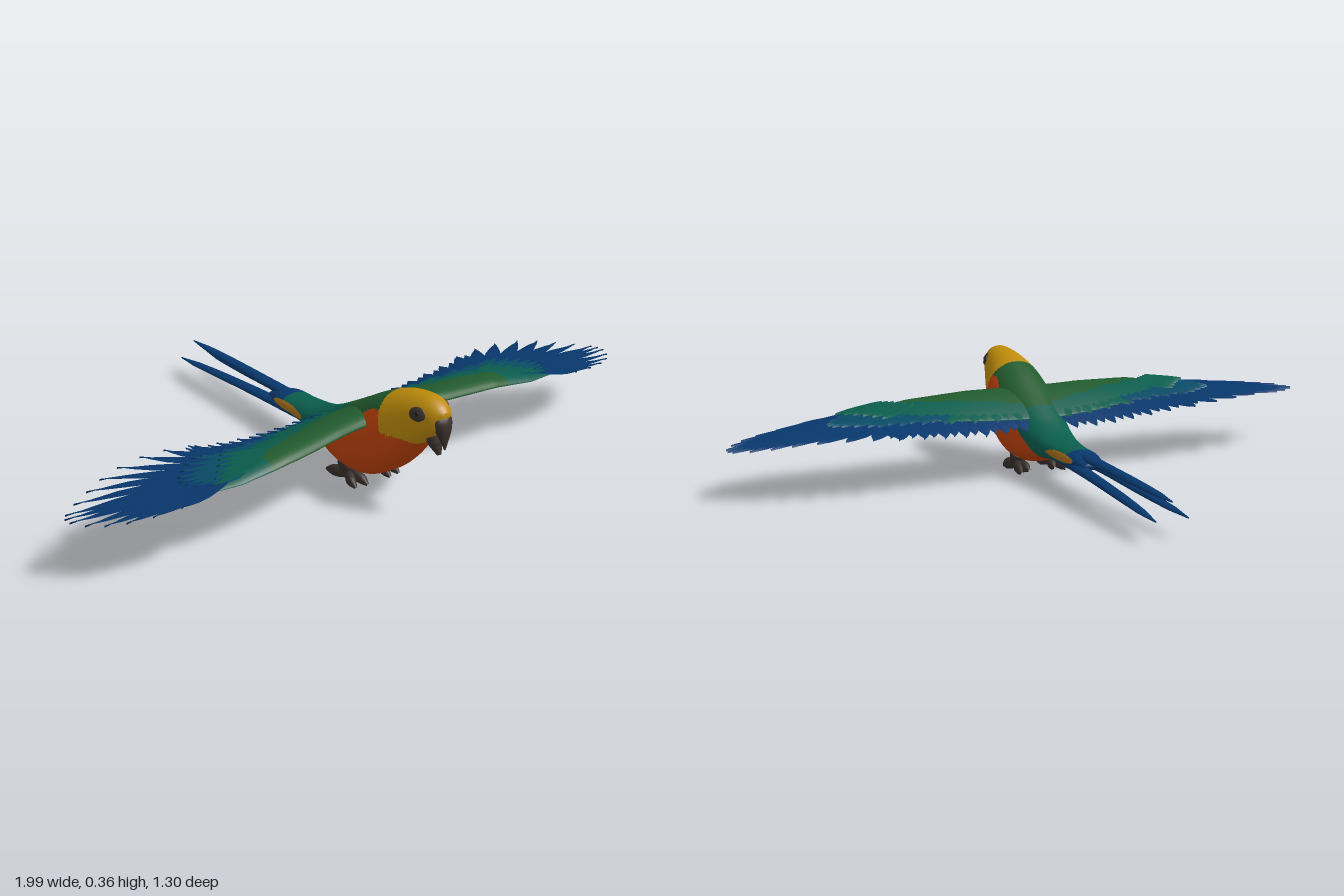
import * as THREE from 'three';
import { mergeGeometries } from 'three/addons/utils/BufferGeometryUtils.js';

const paint = (name, color, side = THREE.FrontSide) => {
  const m = new THREE.MeshStandardMaterial({ color, side });
  m.name = name;
  return m;
};
const V = (x, y, z) => new THREE.Vector3(x, y, z);

// Linear interpolation in rows sorted by their first entry
function sample(rows, k) {
  let i = 0;
  while (i < rows.length - 2 && k > rows[i + 1][0]) i++;
  const a = rows[i], b = rows[i + 1];
  const t = THREE.MathUtils.clamp((k - a[0]) / (b[0] - a[0]), 0, 1);
  return a.map((v, j) => v + (b[j] - v) * t);
}

// Skin over rings of points; classify(centre) picks a material index per face
function loft(rings, closed = true, classify = null) {
  const n = rings[0].length, pts = rings.flat(), faces = [];
  for (let i = 0; i < rings.length - 1; i++)
    for (let j = 0; j < (closed ? n : n - 1); j++) {
      const a = i * n + j, b = i * n + (j + 1) % n;
      faces.push([a, a + n, b], [b, a + n, b + n]);
    }
  const geo = new THREE.BufferGeometry().setFromPoints(pts);
  const buckets = [];
  for (const f of faces) {
    const c = V(0, 0, 0);
    f.forEach((k) => c.addScaledVector(pts[k], 1 / 3));
    const m = classify ? classify(c) : 0;
    (buckets[m] ||= []).push(...f);
  }
  const index = [];
  buckets.forEach((list, m) => {
    if (classify) geo.addGroup(index.length, list.length, m);
    for (const k of list) index.push(k);
  });
  geo.setIndex(index);
  geo.computeVertexNormals();
  return geo;
}

// Smooth spindle along a path; radii are [across, thick] pairs
function spindle(path, radii, sides = 12, steps = 14) {
  const curve = new THREE.CatmullRomCurve3(path.map((p) => V(...p)));
  const rows = radii.map((r, i) => [i / (radii.length - 1), ...r]);
  const rings = [];
  for (let i = 0; i <= steps; i++) {
    const t = i / steps, c = curve.getPoint(t), d = curve.getTangent(t);
    const n = V(1, 0, 0).cross(d).normalize();
    const [, rx, ry] = sample(rows, t);
    rings.push(Array.from({ length: sides }, (_, j) => {
      const a = j / sides * Math.PI * 2;
      return c.clone().addScaledVector(n, Math.sin(a) * ry).add(V(Math.cos(a) * rx, 0, 0));
    }));
  }
  return loft([rings[0].map(() => V(...path[0])), ...rings]);
}

// Wing rows: span, leading z, height, backward slope, covert trailing z, thickness
const WING = [
  [0.03, 0.415, 0.283, 0.41, 0.20, 0.036], [0.2, 0.42, 0.28, 0.38, 0.21, 0.033],
  [0.4, 0.42, 0.262, 0.26, 0.23, 0.027], [0.55, 0.415, 0.228, 0.09, 0.26, 0.016],
  [0.66, 0.39, 0.204, 0, 0.32, 0.004], [0.8, 0.39, 0.185, -0.05, 0.34, 0.003], [1, 0.3, 0.164, 0, 0.3, 0.002],
];
// The right wing is held slightly further forward and higher
const place = (x, y, z, s) => s > 0 ? V(x, y, z)
  : V(-x, y + 0.034 * x * x, z + 0.05 * THREE.MathUtils.smoothstep(x, 0.05, 0.45));
const wingY = (x, z) => {
  const [, lead, h, slope] = sample(WING, x);
  return h - Math.max(0, lead - z) * slope;
};

// A ridged vane following the wing surface from root [x, z] to tip [x, z]
const VANE = [[0, 0.5], [0.2, 0.9], [0.5, 1], [0.72, 0.85], [0.88, 0.48], [1, 0.02]];
function feather(root, tip, width, lift, s) {
  const dx = tip[0] - root[0], dz = tip[1] - root[1], len = Math.hypot(dx, dz);
  return loft(VANE.map(([t, w]) => [-1, 0, 1].map((k) => {
    const x = root[0] + dx * t - dz / len * k * w * width / 2;
    const z = root[1] + dz * t + dx / len * k * w * width / 2;
    const y = wingY(root[0] + dx * t, root[1] + dz * t) + lift + (k ? 0.003 * k : 0.003);
    return place(x, y, z, s);
  })), false);
}

// Body rows: z, top, bottom, half width
const BODY = [
  [0.642, 0.345, 0.325, 0.012], [0.624, 0.362, 0.28, 0.035], [0.59, 0.375, 0.25, 0.052],
  [0.54, 0.372, 0.2, 0.07], [0.49, 0.362, 0.14, 0.086], [0.44, 0.345, 0.093, 0.1],
  [0.38, 0.315, 0.058, 0.105], [0.3, 0.268, 0.044, 0.103], [0.22, 0.222, 0.052, 0.09],
  [0.15, 0.185, 0.076, 0.075], [0.08, 0.16, 0.088, 0.064], [0, 0.15, 0.092, 0.055],
  [-0.1, 0.144, 0.094, 0.05], [-0.16, 0.125, 0.105, 0.03],
];
function bodyGeometry() {
  const top = new THREE.CatmullRomCurve3(BODY.map((r) => V(r[3], r[1], r[0])));
  const low = new THREE.CatmullRomCurve3(BODY.map((r) => V(r[3], r[2], r[0])));
  const steps = 150, sides = 84, rings = [];
  for (let i = 0; i <= steps; i++) {
    const t = top.getPoint(i / steps), b = low.getPoint(i / steps);
    const cy = (t.y + b.y) / 2, h = (t.y - b.y) / 2;
    rings.push(Array.from({ length: sides }, (_, j) => {
      const a = j / sides * Math.PI * 2, c = Math.cos(a), s = Math.sin(a);
      const e = s < 0 ? 0.75 : 0.95;
      return V(Math.sign(c) * Math.abs(c) ** e * t.x, cy + Math.sign(s) * Math.abs(s) ** e * h, t.z);
    }));
  }
  const end = (ring) => {
    const c = ring.reduce((m, p) => m.addScaledVector(p, 1 / sides), V(0, 0, 0));
    return ring.map(() => c.clone());
  };
  // 0 yellow head, 1 orange breast, 2 green mantle, 3 teal rump, 4 gold flank, 5 blue tail base
  return loft([end(rings[0]), ...rings, end(rings[steps])], true, ({ x, y, z }) => {
    if (z > 0.435 + (0.345 - y) * 0.35 && y > 0.245 - Math.max(0, z - 0.54) * 0.5) return 0;
    if (z > 0.12 && y < Math.min(0.3, 0.1 + (z - 0.13) * 0.68)) return 1;
    if (Math.abs(x) > 0.02 && ((z + 0.025) / 0.085) ** 2 + ((y - 0.123) / 0.013) ** 2 < 1) return 4;
    if (z < -0.06 || (z < 0.07 && y < 0.102)) return 5;
    return z > 0.24 ? 2 : 3;
  });
}

export function createModel() {
  const bird = new THREE.Group();
  bird.name = 'parrot';
  const both = THREE.DoubleSide;
  const yellow = paint('yellow', 0xbd8b0b), orange = paint('orange', 0xc2430b);
  const green = paint('green', 0x215a2d, both), teal = paint('teal', 0x0a5d4d, both);
  const ocean = paint('ocean blue', 0x094b66, both);
  const blue = paint('blue', 0x08376c, both), navy = paint('navy', 0x07284f, both);
  const gold = paint('gold', 0xa8701a), horn = paint('horn', 0x38302b), black = paint('black', 0x1c1a18);
  const add = (name, geo, mat, parent = bird) => {
    const m = new THREE.Mesh(geo, mat);
    m.name = name;
    parent.add(m);
    return m;
  };

  add('body', bodyGeometry(), [yellow, orange, green, teal, gold, blue]);

  // Hooked beak
  add('upperBeak', spindle([[0, 0.318, 0.6], [0, 0.318, 0.625], [0, 0.285, 0.634], [0, 0.234, 0.642]],
    [[0.028, 0.02], [0.031, 0.022], [0.024, 0.018], [0.002, 0.002]]), horn);
  add('lowerBeak', spindle([[0, 0.27, 0.59], [0, 0.24, 0.603], [0, 0.21, 0.62]],
    [[0.028, 0.022], [0.022, 0.019], [0.006, 0.006]]), horn);

  for (const s of [1, -1]) {
    // Eye in a dark patch
    const patch = add('eyePatch', new THREE.SphereGeometry(1, 20, 14), horn);
    patch.scale.set(0.007, 0.02, 0.026);
    patch.position.set(s * 0.051, 0.333, 0.581);
    patch.rotation.set(0, -s * 0.35, s * 0.3);
    const eye = add('eye', new THREE.SphereGeometry(0.008, 14, 10), black);
    eye.position.set(s * 0.051, 0.335, 0.582);

    // Tucked foot: leg stub, two stout toes forward and two back
    const foot = new THREE.Group();
    foot.name = 'foot';
    bird.add(foot);
    add('leg', spindle([[s * 0.06, 0.075, 0.28], [s * 0.06, 0.05, 0.29], [s * 0.06, 0.022, 0.3]],
      [[0.026, 0.03], [0.024, 0.028], [0.014, 0.014]], 10, 8), horn, foot);
    for (const [dx, z, y] of [[-0.018, 0.362, 0.018], [0.02, 0.355, 0.016], [-0.015, 0.225, 0.022], [0.017, 0.208, 0.02]])
      add('toe', spindle([[s * 0.06, 0.036, 0.29], [s * (0.06 + dx * 0.8), 0.03, (z + 0.29) / 2], [s * (0.06 + dx), y, z]],
        [[0.015, 0.014], [0.015, 0.02], [0.013, 0.017], [0.004, 0.004]], 10, 10), horn, foot);

    // Wing: padded arm with overlapping rows of feathers
    const wing = new THREE.Group();
    wing.name = s > 0 ? 'leftWing' : 'rightWing';
    bird.add(wing);
    const rings = [];
    for (let i = 0; i <= 60; i++) {
      const x = 0.03 + 0.63 * i / 60, [, lead, , , trail, thick] = sample(WING, x);
      rings.push(Array.from({ length: 32 }, (_, j) => {
        const a = j / 32 * Math.PI * 2, u = (1 + Math.cos(a)) / 2;
        const z = trail + (lead - trail) * u, k = Math.sin(a);
        return place(x, wingY(x, z) + thick * (k * (k > 0 ? 0.8 : 0.5) * (0.35 + 0.65 * u) - u ** 4), z, s);
      }));
    }
    add('wingArm', loft(rings, true, ({ x, z }) => {
      const ax = Math.abs(x), shift = s < 0 ? 0.05 * THREE.MathUtils.smoothstep(ax, 0.05, 0.45) : 0;
      return z - shift > 0.255 + ax * 0.22 && ax < 0.45 ? 0 : 1;
    }), [green, teal], wing);

    const row = (name, mat, count, fn) => add(name,
      mergeGeometries(Array.from({ length: count }, (_, i) => feather(...fn(i / (count - 1), i), s))), mat, wing);
    // Flight feathers fan round the wing tip
    const rim = new THREE.CatmullRomCurve3([[0.52, 0.1], [0.66, 0.103], [0.8, 0.14], [0.9, 0.19],
      [0.985, 0.25], [0.997, 0.285], [0.955, 0.35], [0.87, 0.395], [0.74, 0.42]].map(([x, z]) => V(x, 0, z)));
    row('primaries', blue, 15, (t, i) => {
      const p = rim.getPoint(t);
      return [[0.46 + 0.12 * t, 0.29 + 0.1 * t], [p.x, p.z], 0.056 - 0.012 * t, -0.004 + 0.0006 * i];
    });
    row('secondaries', blue, 14, (t, i) =>
      [[0.07 + 0.4 * t, 0.32], [0.09 + 0.45 * t, 0.142 - 0.035 * t + 0.012 * (i % 2)], 0.058, -0.003]);
    row('underCoverts', navy, 13, (t) =>
      [[0.08 + 0.45 * t, 0.31], [0.1 + 0.55 * t, 0.19 + 0.02 * t], 0.06, -0.014]);
    row('primaryCoverts', ocean, 9, (t) =>
      [[0.42 + 0.1 * t, 0.31 + 0.07 * t], [0.58 + 0.1 * Math.sin(t * 3), 0.215 + 0.19 * t], 0.04, 0.007]);
    row('outerCoverts', teal, 6, (t) =>
      [[0.4 + 0.08 * t, 0.33 + 0.06 * t], [0.52 + 0.11 * t, 0.26 + 0.14 * t], 0.036, 0.013]);
    row('innerCoverts', teal, 7, (t, i) =>
      [[0.07 + 0.2 * t, 0.3], [0.09 + 0.23 * t, 0.19 + 0.008 * t + 0.012 * (i % 2)], 0.046, 0.005]);
    row('middleCoverts', ocean, 7, (t, i) =>
      [[0.29 + 0.18 * t, 0.3], [0.34 + 0.21 * t, 0.2 + 0.01 * t + 0.012 * (i % 2)], 0.046, 0.005]);
  }

  // Long tail: one raised centre plume and a lower pair
  for (const [x, y0, y1] of [[0, 0.134, 0.125], [0.04, 0.106, 0.075], [-0.04, 0.106, 0.075]])
    add('tailPlume', spindle([[x * 0.6, y0, 0.08], [x * 0.85, y0 - 0.002, -0.15], [x, (y0 + y1) / 2, -0.4], [x * 1.25, y1, -0.65]],
      [[0.02, 0.01], [0.022, 0.012], [0.022, 0.013], [0.022, 0.012], [0.021, 0.011], [0.02, 0.01], [0.019, 0.009],
        [0.017, 0.008], [0.014, 0.006], [0.002, 0.002]], 12, 36), blue);
  return bird;
}
